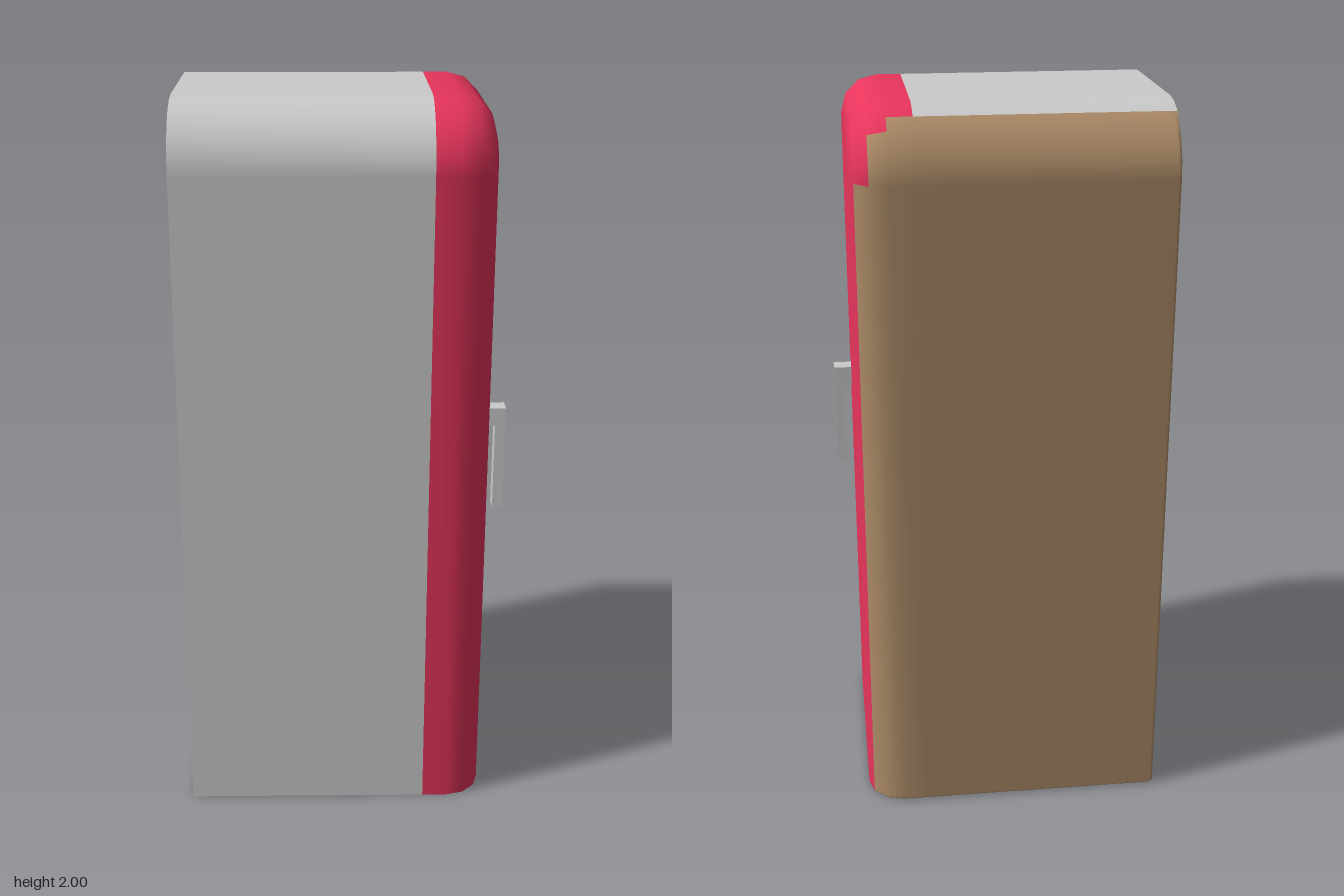
import * as THREE from 'three';

const RED = 0xe8355c, BROWN = 0xac8b68, GREY = 0xcccccc;
const HALF_DEPTH = 0.382, HEIGHT = 2, RADIUS = 0.18, BEVEL = 0.1, CHAMFER = 0.01;

// Arched cross-section [z, y], from the front foot over the top to the back foot
function outline(inset, backShift) {
  const r = RADIUS - inset, cz = HALF_DEPTH - RADIUS, cy = HEIGHT - RADIUS;
  const pts = [[HALF_DEPTH - inset, 0]];
  for (const side of [1, -1]) {
    for (let i = 0; i <= 6; i++) {
      const a = (side > 0 ? i : 6 - i) * Math.PI / 12;
      pts.push([side * (cz + r * Math.cos(a)), cy + r * Math.sin(a)]);
    }
  }
  pts.push([-HALF_DEPTH + inset, CHAMFER], [-HALF_DEPTH + inset + CHAMFER, 0]);
  return pts.map(([z, y]) => [z < -0.3 ? z + backShift : z, y]);
}

export function createModel() {
  const group = new THREE.Group();
  const add = (name, geometry, color) => {
    const mesh = new THREE.Mesh(geometry, new THREE.MeshStandardMaterial({ color }));
    mesh.name = name;
    group.add(mesh);
    return mesh;
  };

  // Sections along x: position, inset, shift of the back edge
  const sections = [[-0.445, 0, CHAMFER], [-0.435, 0, 0], [0.225, 0, 0]];
  for (let i = 0; i <= 3; i++) {
    const a = i * Math.PI / 6;
    sections.push([0.292 + BEVEL * Math.sin(a), BEVEL * (1 - Math.cos(a)), 0]);
  }
  // First outline segment that belongs to the back panel, per strip
  const backStart = [10, 10, 10, 11, 14, 99];

  const positions = [];
  for (const [x, inset, shift] of sections) {
    for (const [z, y] of outline(inset, shift)) positions.push(x, y, z);
  }
  const n = positions.length / 3 / sections.length;
  const last = sections.length - 1;
  const doorCentre = positions.length / 3, sideCentre = doorCentre + 1;
  positions.push(sections[last][0], 1, 0, sections[0][0], 1, 0);

  // Sort the faces into parts
  const body = [], door = [], back = [], flat = [];
  for (let s = 0; s < last; s++) {
    for (let j = 0; j < n; j++) {
      const k = (j + 1) % n;
      const a = s * n + j, b = a + n, c = s * n + k, d = c + n;
      const part = k === 0 ? flat : j >= backStart[s] ? back : s < 2 ? body : door;
      part.push(a, b, c, b, d, c);
    }
  }
  for (let j = 0; j < n; j++) {
    const k = (j + 1) % n;
    door.push(doorCentre, last * n + k, last * n + j);
    flat.push(sideCentre, j, k);
  }

  // Shared normals keep the shell smooth across the colour borders
  const shell = new THREE.BufferGeometry();
  shell.setAttribute('position', new THREE.Float32BufferAttribute(positions, 3));
  shell.setIndex([...body, ...door, ...back]);
  shell.computeVertexNormals();
  const pick = (index) => {
    const g = shell.clone();
    g.setIndex(index);
    return g.toNonIndexed();
  };
  add('body', pick(body), GREY);
  add('door', pick(door), RED);
  add('backPanel', pick(back), BROWN);

  // Flat side wall and underside
  const flatGeometry = pick(flat);
  flatGeometry.computeVertexNormals();
  add('sideAndBase', flatGeometry, BROWN);

  // L-shaped door handle
  const profile = new THREE.Shape([
    [0.385, 1.15], [0.385, 1.1], [0.415, 1.1], [0.415, 0.85], [0.443, 0.85], [0.443, 1.15],
  ].map(([x, y]) => new THREE.Vector2(x, y)));
  const handle = new THREE.ExtrudeGeometry(profile, { depth: 0.048, bevelEnabled: false });
  add('handle', handle, GREY).position.z = 0.181;

  return group;
}
